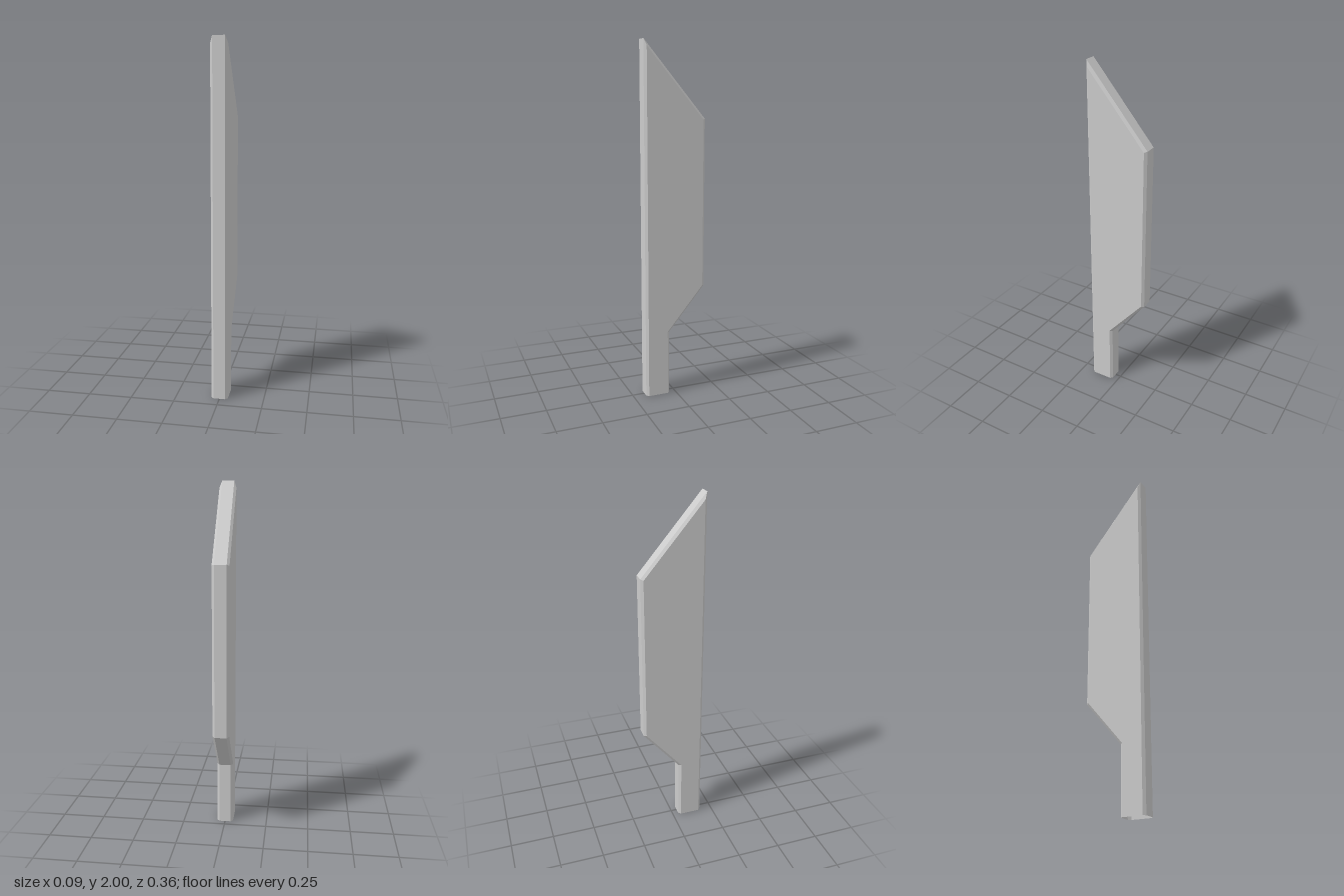
import * as THREE from 'three';

const material = new THREE.MeshStandardMaterial({ color: 0xcccccc, flatShading: true, side: THREE.DoubleSide });

// Blade outline as [z, y], running up the front edge and down the back
const edge = [[0.178, 0], [0.178, 2], [-0.178, 1.58], [-0.178, 0.625], [0.036, 0.37], [0.036, 0]];
// Same outline inset by the chamfer, for the flat sides
const inset = [[0.1645, 0], [0.1645, 1.963], [-0.1645, 1.575], [-0.1645, 0.63], [0.0495, 0.375], [0.0495, 0]];

function mesh(name, points) {
  const geometry = new THREE.BufferGeometry().setFromPoints(points);
  geometry.computeVertexNormals();
  const m = new THREE.Mesh(geometry, material);
  m.name = name;
  return m;
}

const loop = (outline, x) => outline.map(([z, y]) => new THREE.Vector3(x, y, z));

// Strip of quads between two outlines; the bottom stays open
function band(name, a, b) {
  const points = [];
  for (let i = 0; i < a.length - 1; i++) {
    points.push(a[i], b[i], b[i + 1], a[i], b[i + 1], a[i + 1]);
  }
  return mesh(name, points);
}

// Flat side panel facing -x, or +x when flipped
function panel(name, points, flip) {
  const flat = points.map((p) => new THREE.Vector2(p.z, p.y));
  const faces = THREE.ShapeUtils.triangulateShape(flat, []);
  return mesh(name, faces.flatMap(([a, b, c]) => (flip ? [a, c, b] : [a, b, c]).map((i) => points[i])));
}

export function createModel() {
  const group = new THREE.Group();
  group.name = 'blade';
  const rightSide = loop(inset, -0.047);
  const rightRim = loop(edge, -0.0335);
  const leftRim = loop(edge, 0.0335);
  const leftSide = loop(inset, 0.047);
  group.add(
    panel('rightPanel', rightSide, false),
    band('rightChamfer', rightSide, rightRim),
    band('rim', rightRim, leftRim),
    band('leftChamfer', leftRim, leftSide),
    panel('leftPanel', leftSide, true),
  );
  return group;
}
